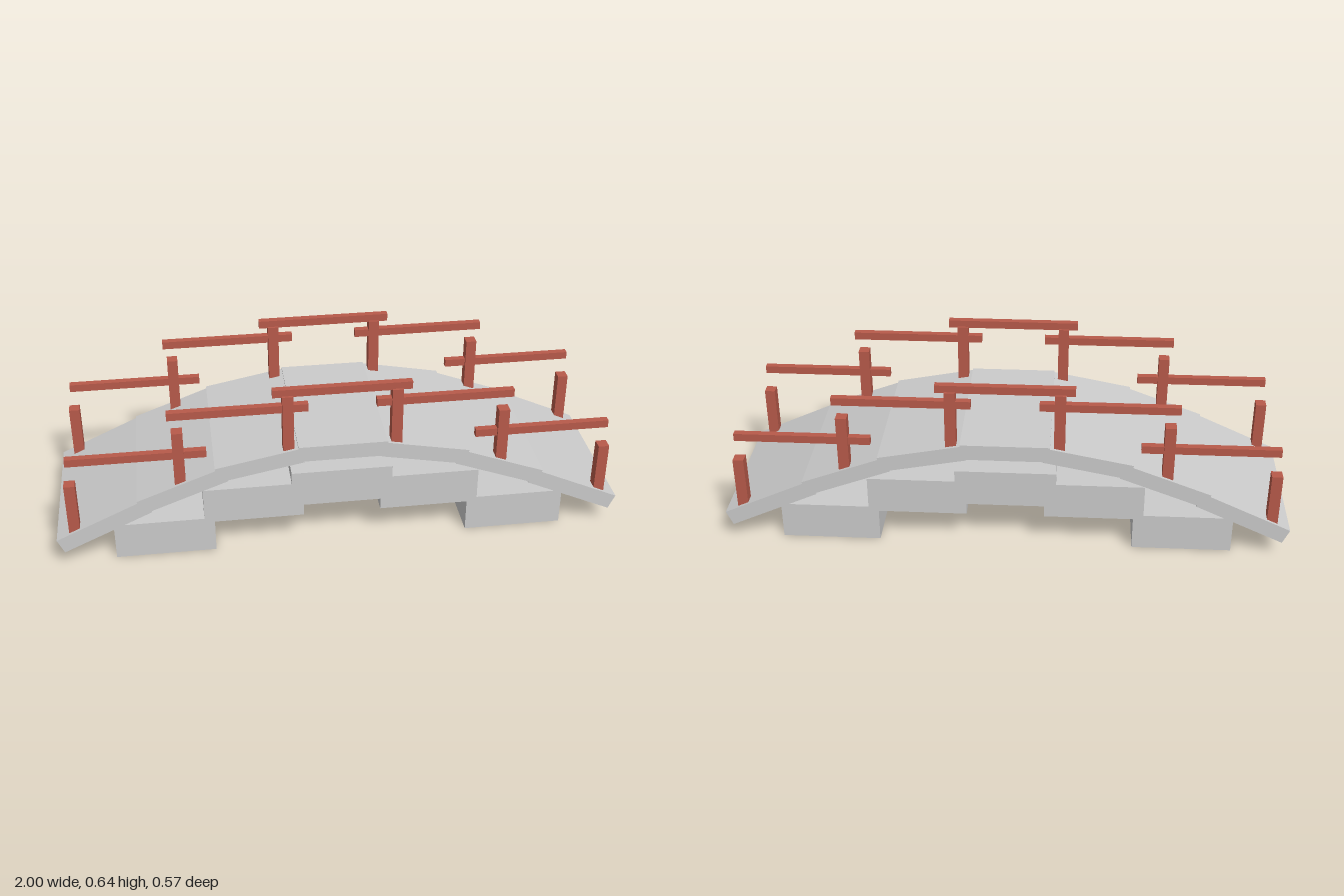
import * as THREE from 'three';

const stone = new THREE.MeshStandardMaterial({ color: 0xcccccc, flatShading: true });
const redWood = new THREE.MeshStandardMaterial({ color: 0xb85a4a, flatShading: true });

// Box given by its extents in x and y, centred on z
function block(name, [x0, x1], [y0, y1], depth, z, material) {
  const mesh = new THREE.Mesh(new THREE.BoxGeometry(x1 - x0, y1 - y0, depth), material);
  mesh.position.set((x0 + x1) / 2, (y0 + y1) / 2, z);
  mesh.name = name;
  return mesh;
}

// Tilted slab whose top surface runs from (x0, y0) to (x1, y1)
function slab(name, [x0, y0], [x1, y1], thickness, depth) {
  const dx = x1 - x0, dy = y1 - y0, length = Math.hypot(dx, dy);
  const mesh = new THREE.Mesh(new THREE.BoxGeometry(length, thickness, depth), stone);
  mesh.position.set(
    (x0 + x1) / 2 + (dy / length) * thickness / 2,
    (y0 + y1) / 2 - (dx / length) * thickness / 2, 0);
  mesh.rotation.z = Math.atan2(dy, dx);
  mesh.name = name;
  return mesh;
}

export function createModel() {
  const bridge = new THREE.Group();
  bridge.name = 'archedBridge';

  // Deck: a flat crown and three ever steeper slabs down each side
  const deck = new THREE.Group();
  deck.name = 'deck';
  const thickness = 0.057, width = 0.566;
  deck.add(slab('deckCrown', [-0.155, 0.418], [0.155, 0.418], thickness, width));
  const slopes = [
    [[0.145, 0.414], [0.443, 0.357]],
    [[0.42, 0.357], [0.715, 0.247]],
    [[0.69, 0.251], [1.0, 0.11]],
  ];
  for (const [a, b] of slopes) {
    deck.add(slab('deckSlab', a, b, thickness, width));
    deck.add(slab('deckSlab', [-b[0], b[1]], [-a[0], a[1]], thickness, width));
  }
  bridge.add(deck);

  // Stepped supports under the deck
  const supports = new THREE.Group();
  supports.name = 'supports';
  const depth = 0.516;
  supports.add(block('topSupport', [-0.178, 0.178], [0.162, 0.297], depth, 0, stone));
  for (const s of [-1, 1]) {
    const span = (a, b) => (s > 0 ? [a, b] : [-b, -a]);
    supports.add(block('middleSupport', span(0.137, 0.488), [0.12, 0.254], depth, 0, stone));
    supports.add(block('footSupport', span(0.452, 0.803), [0, 0.136], depth, 0, stone));
  }
  bridge.add(supports);

  // Railings: six posts and five level rails along each edge
  const posts = [[0.187, 0.39, 0.614], [0.562, 0.285, 0.502], [0.936, 0.115, 0.322]];
  const rails = [[0, 0.624], [0.355, 0.564], [0.705, 0.411]];
  for (const z of [-0.252, 0.252]) {
    const railing = new THREE.Group();
    railing.name = z > 0 ? 'frontRailing' : 'backRailing';
    for (const s of [-1, 1]) {
      for (const [x, y0, y1] of posts) {
        railing.add(block('post', [s * x - 0.019, s * x + 0.019], [y0, y1], 0.04, z, redWood));
      }
    }
    for (const [x, y] of rails) {
      for (const cx of x ? [-x, x] : [0]) {
        railing.add(block('rail', [cx - 0.238, cx + 0.238], [y - 0.014, y + 0.014], 0.024, z, redWood));
      }
    }
    bridge.add(railing);
  }
  return bridge;
}
